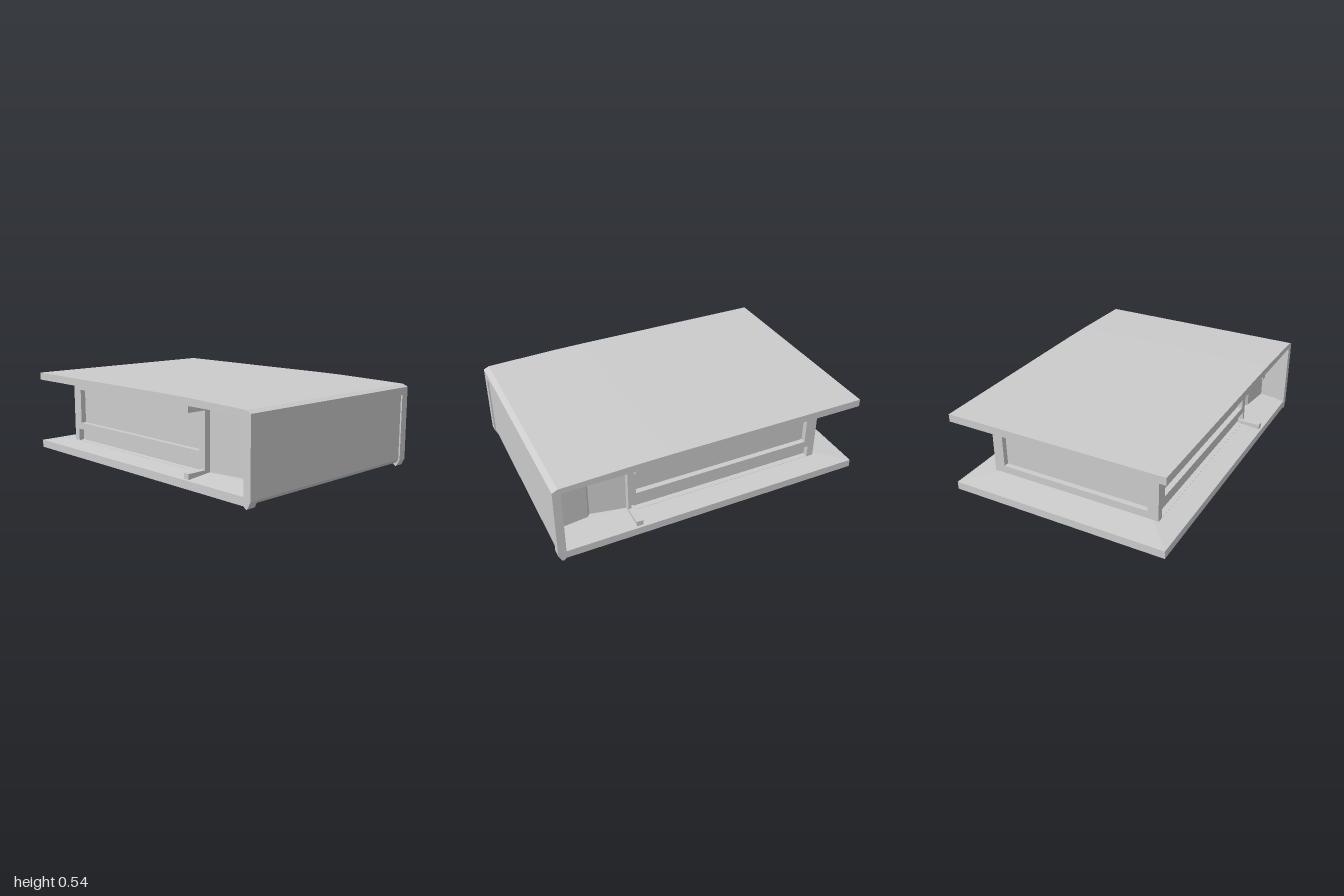
import * as THREE from 'three';

const material = new THREE.MeshStandardMaterial({ color: 0xcccccc, flatShading: true });

export function createModel() {
  const model = new THREE.Group();

  const add = (name, geometry) => {
    const mesh = new THREE.Mesh(geometry, material);
    mesh.name = name;
    model.add(mesh);
    return mesh;
  };
  const box = (name, x0, x1, y0, y1, z0, z1) =>
    add(name, new THREE.BoxGeometry(x1 - x0, y1 - y0, z1 - z0)
      .translate((x0 + x1) / 2, (y0 + y1) / 2, (z0 + z1) / 2));
  const outline = (points) => new THREE.Shape(points.map(([a, b]) => new THREE.Vector2(a, b)));
  const rect = (a0, a1, b0, b1) => [[a0, b0], [a1, b0], [a1, b1], [a0, b1]];
  const withHoles = (points, holes) => {
    const shape = outline(points);
    holes.forEach((h) => shape.holes.push(outline(h)));
    return shape;
  };
  const extrude = (shape, depth) => new THREE.ExtrudeGeometry(shape, { depth, bevelEnabled: false });
  // Side profile given as (z, y), swept from x0 to x1
  const sweep = (name, shape, x0, x1) =>
    add(name, extrude(shape, x1 - x0).rotateY(-Math.PI / 2).translate(x1, 0, 0));

  // Outer shell: floor slab, front wall and roof slab in one C profile
  sweep('shell', outline([
    [-1, 0.015], [0.955, 0.015], [0.975, 0.025], [0.99, 0.045], [0.99, 0.505],
    [0.965, 0.521], [0.5, 0.533], [0.3, 0.535], [-1, 0.535], [-1, 0.487],
    [0.957, 0.487], [0.957, 0.065], [-1, 0.065],
  ]), -0.705, 0.705);

  // Raised frame around the front panel, its sides ending in small feet
  const foot = [[0.95, 0.015], [0.97, 0], [0.98, 0.005], [1, 0.045],
    [1, 0.505], [0.965, 0.521], [0.95, 0.521]];
  sweep('frontFrameSide', outline(foot), 0.65, 0.705);
  sweep('frontFrameSide', outline(foot), -0.705, -0.65);
  sweep('frontFrameTop', outline([[0.96, 0.46], [1, 0.46], [1, 0.505], [0.965, 0.521], [0.96, 0.521]]),
    -0.65, 0.65);

  // Slabs thicken inwards: a flat box whose inner face is drawn in towards the core
  const taper = (name, yEdge, yInner) => {
    const g = new THREE.BoxGeometry(1.41, Math.abs(yInner - yEdge), 1.957);
    g.translate(0, (yEdge + yInner) / 2, -0.0215);
    const p = g.attributes.position;
    for (let i = 0; i < p.count; i++) {
      if (Math.abs(p.getY(i) - yInner) > 1e-4) continue;
      p.setX(i, Math.sign(p.getX(i)) * 0.53);
      if (p.getZ(i) < 0) p.setZ(i, -0.8);
    }
    g.computeVertexNormals();
    add(name, g);
  };
  taper('floorTaper', 0.065, 0.082);
  taper('ceilingTaper', 0.487, 0.47);

  // Inner core and its framed side and back walls
  box('corePanels', -0.53, 0.53, 0.06, 0.49, -0.765, 0.5);
  const sideWall = withHoles(rect(-0.8, 0.51, 0.06, 0.49), [
    rect(-0.725, 0.46, 0.205, 0.43),
    rect(-0.755, 0.49, 0.08, 0.16),
  ]);
  sweep('sideWall', sideWall, 0.525, 0.565);
  sweep('sideWall', sideWall, -0.565, -0.525);
  const backWall = withHoles(rect(-0.53, 0.53, 0.06, 0.49), [rect(-0.495, 0.495, 0.13, 0.43)]);
  add('backWall', extrude(backWall, 0.04).translate(0, 0, -0.8));

  // Entrance walls behind the front, folded inwards at a narrow joint
  const half = [[0.53, 0.96], [0.505, 0.745], [0.485, 0.73], [0.53, 0.5]];
  const plan = [...half, ...half.map(([x, z]) => [-x, z]).reverse()].map(([x, z]) => [x, -z]);
  add('entranceWalls', extrude(outline(plan), 0.43).rotateX(-Math.PI / 2).translate(0, 0.06, 0));

  // Low curbs on floor and ceiling, running from the core towards the open edge
  for (const s of [-1, 1]) {
    const [x0, x1] = s > 0 ? [0.54, 0.69] : [-0.69, -0.54];
    box('floorCurb', x0, x1, 0.06, 0.1, 0.47, 0.51);
    box('ceilingCurb', x0, x1, 0.445, 0.49, 0.47, 0.51);
  }

  return model;
}
